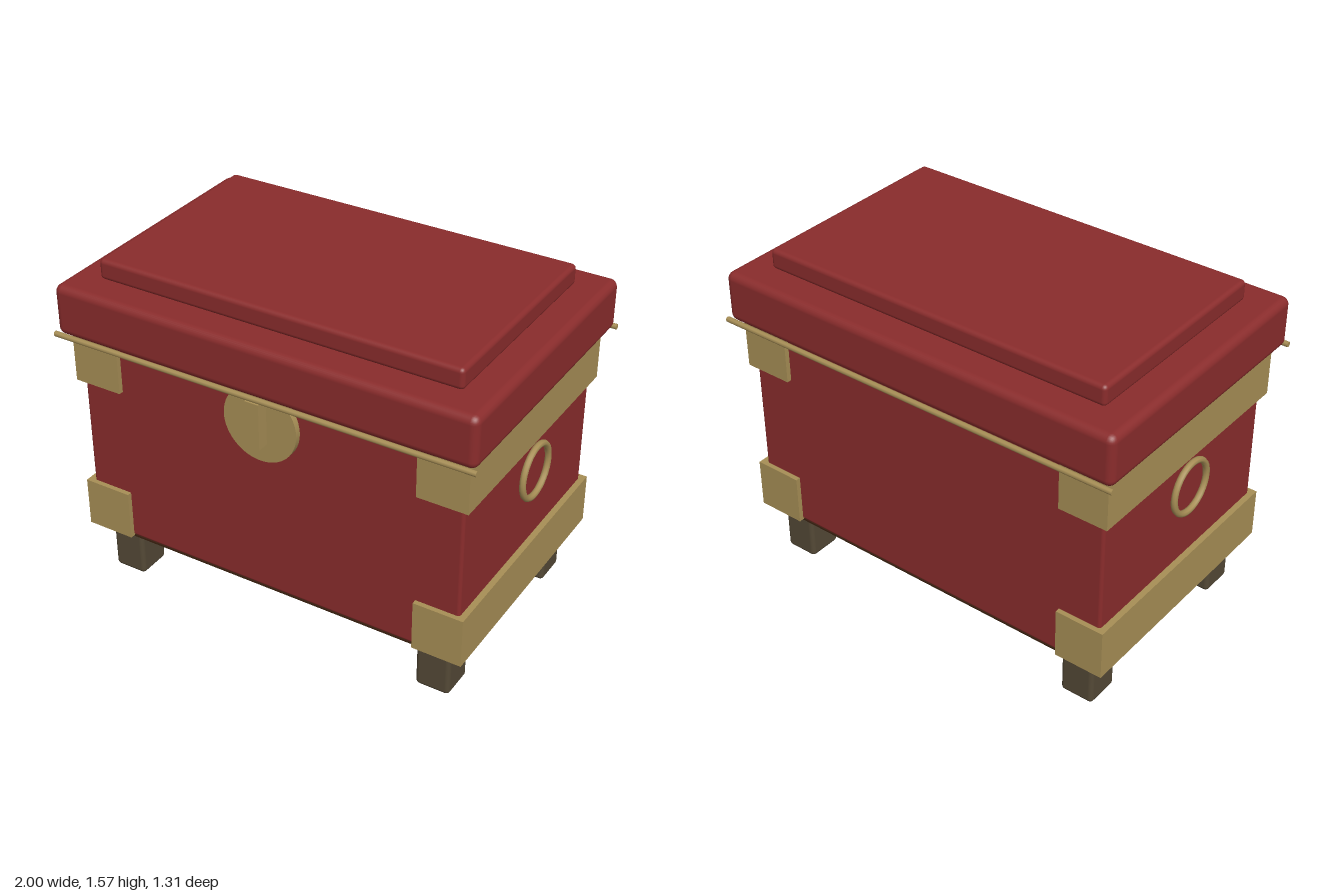
import * as THREE from 'three';
import { RoundedBoxGeometry } from 'three/addons/geometries/RoundedBoxGeometry.js';

const material = (name, color) => {
  const m = new THREE.MeshStandardMaterial({ color });
  m.name = name;
  return m;
};

export function createModel() {
  const chest = new THREE.Group();
  chest.name = 'chest';
  const red = material('red lacquer', 0x8a2c2c);
  const brass = material('aged brass', 0xa88f56);
  const wood = material('dark wood', 0x544936);
  const underside = material('underside brown', 0x3a2010);

  const add = (name, geometry, mat, x, y, z) => {
    const mesh = new THREE.Mesh(geometry, mat);
    mesh.name = name;
    mesh.position.set(x, y, z);
    chest.add(mesh);
    return mesh;
  };
  // box given by its width, depth and lower and upper height; r rounds the edges
  const box = (name, mat, w, d, y0, y1, r = 0, x = 0, z = 0) => {
    const h = y1 - y0;
    const g = r ? new RoundedBoxGeometry(w, h, d, 3, r) : new THREE.BoxGeometry(w, h, d);
    return add(name, g, mat, x, (y0 + y1) / 2, z);
  };

  // body, lid and raised lid panel
  box('body', red, 1.845, 1.145, 0.245, 1.245, 0.015);
  box('lid', red, 1.985, 1.285, 1.24, 1.475, 0.035);
  box('lidPanel', red, 1.71, 1.0, 1.475, 1.57, 0.02);
  box('bottomPlate', underside, 1.89, 1.14, 0.238, 0.246);

  for (const s of [1, -1]) {
    // brass bands wrapping each end
    box('lowerBand', brass, 0.23, 1.19, 0.244, 0.478, 0, s * 0.835);
    box('upperBand', brass, 0.23, 1.19, 1.004, 1.238, 0, s * 0.835);

    // ring handle on each end
    const ring = add('ringHandle', new THREE.TorusGeometry(0.12, 0.015, 8, 32), brass, s * 0.955, 0.862, 0);
    ring.rotation.y = Math.PI / 2;

    // rod under the lid, front and back
    const rod = add('lidRod', new THREE.CylinderGeometry(0.0125, 0.0125, 2, 8), brass, 0, 1.242, s * 0.644);
    rod.rotation.z = Math.PI / 2;

    // feet
    for (const t of [1, -1]) box('foot', wood, 0.16, 0.165, 0, 0.24, 0.02, s * 0.79, t * 0.453);
  }

  // lock plate and hasp
  const plate = add('lockPlate', new THREE.CylinderGeometry(0.175, 0.175, 0.03, 48), brass, 0, 1.097, 0.585);
  plate.rotation.x = Math.PI / 2;
  box('hasp', brass, 0.066, 0.06, 1.014, 1.228, 0, 0, 0.625);

  return chest;
}
